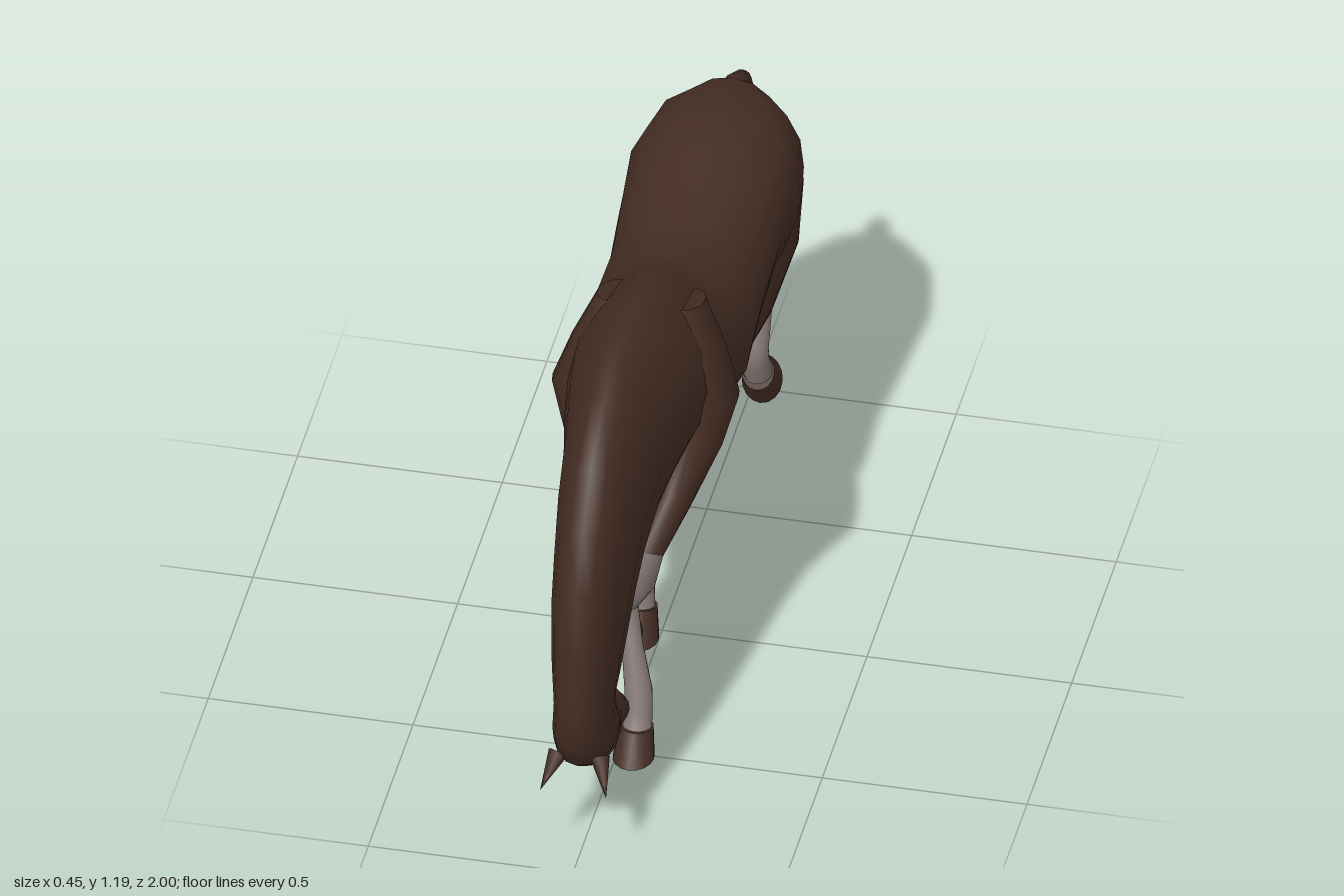
import * as THREE from 'three';

const coat = new THREE.MeshStandardMaterial({ color: 0x442d23 });
coat.name = 'brown coat';
const stocking = new THREE.MeshStandardMaterial({ color: 0x857876 });
stocking.name = 'grey stocking';
const SIDES = 16;

// Skin a row of rings { c: centre, u: half height vector, w: half width, pinch }
function loft(rings, name, material) {
  const pos = [], idx = [];
  const addRing = ({ c, u, w, pinch = 0 }) => {
    for (let j = 0; j < SIDES; j++) {
      const t = (j / SIDES) * Math.PI * 2, s = Math.sin(t);
      const x = Math.cos(t) * w * (1 - pinch * Math.max(0, s) ** 2);
      pos.push(c.x + x, c.y + u.y * s, c.z + u.z * s);
    }
  };
  rings.forEach(addRing);
  for (let i = 0; i < rings.length - 1; i++) {
    for (let j = 0; j < SIDES; j++) {
      const k = (j + 1) % SIDES, a = i * SIDES, b = a + SIDES;
      idx.push(a + j, a + k, b + j, a + k, b + k, b + j);
    }
  }
  // flat end caps with their own vertices
  [rings[0], rings[rings.length - 1]].forEach((ring, end) => {
    const base = pos.length / 3;
    addRing(ring);
    for (let j = 1; j < SIDES - 1; j++) {
      if (end) idx.push(base, base + j, base + j + 1);
      else idx.push(base, base + j + 1, base + j);
    }
  });
  const g = new THREE.BufferGeometry();
  g.setAttribute('position', new THREE.Float32BufferAttribute(pos, 3));
  g.setIndex(idx);
  g.computeVertexNormals();
  const mesh = new THREE.Mesh(g, material);
  mesh.name = name;
  return mesh;
}

// Ring from its crest and underside points in the side plane
const span = ([zt, yt, zb, yb, w, pinch = 0], x = 0) => ({
  c: new THREE.Vector3(x, (yt + yb) / 2, (zt + zb) / 2),
  u: new THREE.Vector3(0, (yt - yb) / 2, (zt - zb) / 2), w, pinch,
});

// Rings square to a path of [x, y, z, half width, half depth]
function pathRings(pts) {
  return pts.map(([x, y, z, w, r], i) => {
    const p = pts[Math.max(0, i - 1)], q = pts[Math.min(pts.length - 1, i + 1)];
    const dy = q[1] - p[1], dz = q[2] - p[2], len = Math.hypot(dy, dz);
    return {
      c: new THREE.Vector3(x, y, z),
      u: new THREE.Vector3(0, (dz / len) * r, (-dy / len) * r), w,
    };
  });
}

// Leg: brown above the seam, grey below it, then a flared hoof
function leg(name, pts, seam, hoof) {
  const g = new THREE.Group();
  g.name = name;
  const rings = pathRings(pts), x = pts[pts.length - 1][0];
  g.add(loft(rings.slice(0, seam + 1), 'upperLeg', coat));
  g.add(loft(rings.slice(seam), 'lowerLeg', stocking));
  g.add(loft(hoof.map((h) => span(h, x)), 'hoof', coat));
  return g;
}

// Shoulder and hip masses, sunk into the trunk; s is the side
const shoulder = (s) => [
  [s * 0.08, 1.08, 0.12, 0.05, 0.09],
  [s * 0.11, 0.97, 0.155, 0.075, 0.13],
  [s * 0.14, 0.86, 0.185, 0.087, 0.11],
];
const hip = (s) => [
  [s * 0.09, 1.0, -0.6, 0.07, 0.14],
  [s * 0.115, 0.89, -0.61, 0.09, 0.175],
];

export function createModel() {
  const horse = new THREE.Group();
  horse.name = 'grazingHorse';

  // Trunk, arched neck and tucked head: crest z, y, underside z, y, half width, pinch
  const trunk = [
    [-0.82, 1.05, -0.81, 0.94, 0.04],
    [-0.79, 1.07, -0.78, 0.79, 0.12, -0.1],
    [-0.72, 1.09, -0.71, 0.69, 0.19, -0.2],
    [-0.58, 1.11, -0.58, 0.66, 0.213, -0.2],
    [-0.42, 1.08, -0.42, 0.69, 0.2, -0.1],
    [-0.25, 1.03, -0.27, 0.635, 0.192],
    [-0.08, 1.04, -0.10, 0.595, 0.2, 0.1],
    [0.05, 1.11, 0.05, 0.60, 0.185, 0.3],
    [0.19, 1.17, 0.17, 0.64, 0.18, 0.4],
    [0.34, 1.18, 0.27, 0.69, 0.165, 0.4],
    [0.48, 1.19, 0.38, 0.67, 0.145, 0.35],
    [0.64, 1.15, 0.47, 0.63, 0.12, 0.25],
    [0.80, 1.05, 0.56, 0.57, 0.105, 0.1],
  ];
  const neckAndHead = [
    [0.89, 0.92, 0.62, 0.51, 0.095],
    [0.96, 0.79, 0.67, 0.45, 0.088],
    [0.995, 0.60, 0.71, 0.41, 0.078],
    [1.0, 0.45, 0.735, 0.40, 0.07],
    [1.0, 0.36, 0.745, 0.375, 0.073],
    [0.95, 0.28, 0.74, 0.355, 0.078],
    [0.86, 0.215, 0.72, 0.34, 0.07],
    [0.74, 0.20, 0.68, 0.31, 0.055],
    [0.68, 0.18, 0.63, 0.295, 0.055],
    [0.63, 0.175, 0.605, 0.265, 0.055],
    [0.605, 0.195, 0.60, 0.235, 0.035],
  ];
  horse.add(loft([...trunk, ...neckAndHead].map((r) => span(r)), 'body', coat));

  // Ears
  for (const s of [-1, 1]) {
    const ear = new THREE.Mesh(new THREE.ConeGeometry(0.024, 0.1, 8), coat);
    ear.name = s > 0 ? 'leftEar' : 'rightEar';
    ear.position.set(s * 0.066, 0.265, 0.965);
    ear.quaternion.setFromUnitVectors(
      new THREE.Vector3(0, 1, 0),
      new THREE.Vector3(s * 0.03, -0.07, 0.07).normalize());
    horse.add(ear);
  }

  // Tail
  horse.add(loft(pathRings([
    [0, 1.045, -0.72, 0.03, 0.03],
    [0, 1.025, -0.82, 0.03, 0.032],
    [0, 0.995, -0.885, 0.025, 0.025],
    [0.005, 0.93, -0.924, 0.02, 0.018],
    [0.01, 0.82, -0.935, 0.02, 0.016],
    [0.015, 0.70, -0.95, 0.018, 0.014],
    [0.02, 0.58, -0.965, 0.003, 0.003],
  ]), 'tail', coat));

  // Lifted foreleg, swinging across the middle
  horse.add(leg('leftForeleg', [
    ...shoulder(1),
    [0.13, 0.74, 0.22, 0.065, 0.075],
    [0.095, 0.63, 0.33, 0.046, 0.055],
    [0.055, 0.54, 0.425, 0.04, 0.045],
    [0.045, 0.47, 0.45, 0.036, 0.04],
    [0, 0.36, 0.385, 0.026, 0.028],
    [-0.035, 0.26, 0.325, 0.032, 0.034],
    [-0.045, 0.205, 0.295, 0.035, 0.036],
  ], 5, [[0.33, 0.18, 0.285, 0.245, 0.04], [0.24, 0.1, 0.235, 0.23, 0.05]]));

  // Planted foreleg, crossing in front
  horse.add(leg('rightForeleg', [
    ...shoulder(-1),
    [-0.13, 0.73, 0.205, 0.065, 0.075],
    [-0.085, 0.6, 0.27, 0.047, 0.057],
    [-0.035, 0.49, 0.34, 0.04, 0.043],
    [-0.02, 0.42, 0.37, 0.035, 0.035],
    [0.02, 0.28, 0.43, 0.026, 0.028],
    [0.045, 0.18, 0.475, 0.034, 0.036],
    [0.05, 0.12, 0.49, 0.033, 0.035],
    [0.05, 0.08, 0.515, 0.037, 0.036],
  ], 5, [[0.555, 0.1, 0.47, 0.09, 0.04], [0.61, 0.03, 0.49, 0.03, 0.05]]));

  // Hind leg stepping under the belly
  horse.add(leg('leftHindLeg', [
    ...hip(1),
    [0.125, 0.76, -0.57, 0.078, 0.155],
    [0.095, 0.62, -0.48, 0.063, 0.11],
    [0.035, 0.49, -0.37, 0.05, 0.075],
    [-0.02, 0.395, -0.28, 0.04, 0.054],
    [-0.03, 0.35, -0.21, 0.037, 0.046],
    [-0.04, 0.24, -0.07, 0.03, 0.034],
    [-0.05, 0.18, -0.005, 0.034, 0.038],
    [-0.05, 0.12, -0.005, 0.03, 0.034],
    [-0.05, 0.07, 0.01, 0.035, 0.036],
  ], 5, [[0.05, 0.085, -0.03, 0.07, 0.04], [0.1, 0, -0.02, 0, 0.05]]));

  // Hind leg trailing behind
  horse.add(leg('rightHindLeg', [
    ...hip(-1),
    [-0.125, 0.77, -0.65, 0.078, 0.13],
    [-0.07, 0.67, -0.77, 0.06, 0.09],
    [0, 0.595, -0.86, 0.048, 0.068],
    [0.05, 0.54, -0.93, 0.04, 0.058],
    [0.055, 0.5, -0.955, 0.036, 0.047],
    [0.052, 0.35, -0.865, 0.028, 0.032],
    [0.05, 0.265, -0.805, 0.034, 0.034],
    [0.05, 0.215, -0.825, 0.032, 0.034],
    [0.05, 0.17, -0.845, 0.035, 0.038],
  ], 5, [[-0.82, 0.13, -0.865, 0.21, 0.04], [-0.865, 0.06, -0.915, 0.17, 0.05]]));

  return horse;
}
